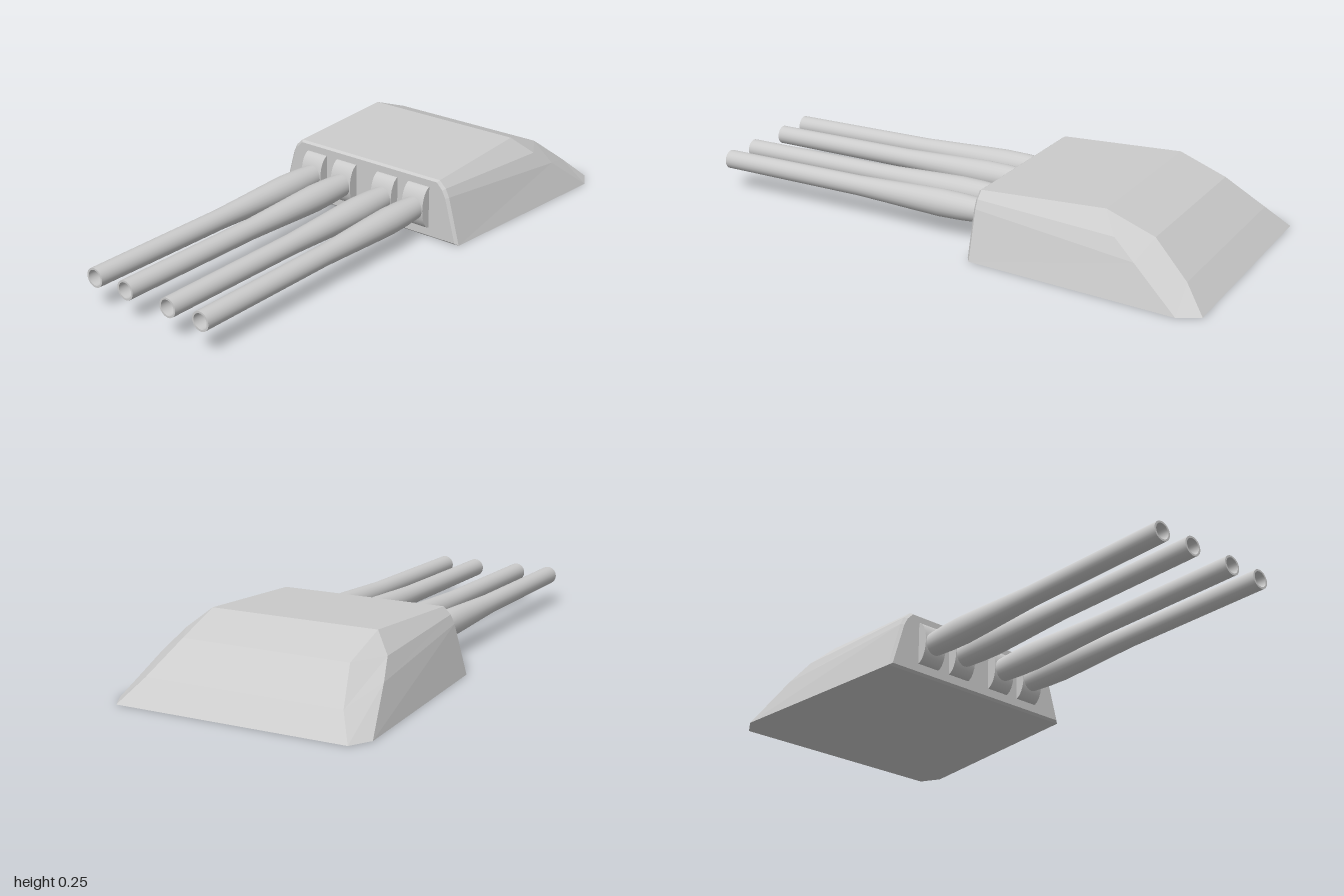
import * as THREE from 'three';

const grey = new THREE.MeshStandardMaterial({ color: 0xcccccc });
const greyFlat = new THREE.MeshStandardMaterial({ color: 0xcccccc, flatShading: true });

// Half cross-sections on the +x side, listed from the base up to the roof
const frontFace = [[0.398, 0.008, -0.135], [0.352, 0.172, -0.135], [0.338, 0.2, -0.135], [0.314, 0.225, -0.135]];
const frontRim = [[0.41, 0, -0.145], [0.362, 0.175, -0.145], [0.347, 0.206, -0.145], [0.32, 0.232, -0.145]];
const cornerEdge = [[0.473, 0, -0.925], [0.418, 0.13, -0.755], [0.385, 0.19, -0.67], [0.318, 0.253, -0.61]];
const rearEdge = [[0.43, 0, -1], [0.37, 0.08, -0.92], [0.316, 0.187, -0.785], [0.318, 0.253, -0.61]];

// Skin mirrored sections into a closed, faceted shell
function buildShell(sections) {
  const rings = sections.map((s) => [...s, ...[...s].reverse().map(([x, y, z]) => [-x, y, z])]);
  const positions = [];
  const quad = (a, b, c, d) => positions.push(...a, ...b, ...c, ...a, ...c, ...d);
  for (let k = 0; k < rings.length - 1; k++) {
    const near = rings[k], far = rings[k + 1];
    for (let i = 0; i < 8; i++) {
      const j = (i + 1) % 8;
      quad(near[i], far[i], far[j], near[j]);
    }
  }
  const first = rings[0], last = rings[rings.length - 1];
  for (let i = 0; i < 3; i++) {
    quad(first[i], first[i + 1], first[6 - i], first[7 - i]);
    quad(last[7 - i], last[6 - i], last[i + 1], last[i]);
  }
  const geometry = new THREE.BufferGeometry();
  geometry.setAttribute('position', new THREE.Float32BufferAttribute(positions, 3));
  geometry.computeVertexNormals();
  return geometry;
}

// Tapered barrel with a hollow muzzle; doubled points keep the rim sharp
function buildBarrel() {
  const profile = [
    [0.041, -0.15], [0.043, -0.1], [0.048, -0.02], [0.05, 0.06], [0.047, 0.15], [0.041, 0.3],
    [0.037, 0.41], [0.035, 1], [0.035, 1], [0.028, 1], [0.028, 1], [0.028, 0.9], [0.028, 0.9], [0, 0.9],
  ].map(([r, y]) => new THREE.Vector2(r, y));
  return new THREE.LatheGeometry(profile, 24).rotateX(Math.PI / 2);
}

// Rounded gun shield lying across the front plate
function buildMantlet() {
  return new THREE.CylinderGeometry(0.081, 0.081, 0.092, 24).rotateZ(Math.PI / 2).scale(1, 1, 0.56);
}

export function createModel() {
  const model = new THREE.Group();
  model.name = 'gunTurret';

  const add = (name, geometry, material, parent = model) => {
    const mesh = new THREE.Mesh(geometry, material);
    mesh.name = name;
    parent.add(mesh);
    return mesh;
  };

  add('turretHousing', buildShell([frontFace, frontRim, cornerEdge, rearEdge]), greyFlat);

  // Four guns in two pairs
  const barrel = buildBarrel();
  const mantlet = buildMantlet();
  [-0.238, -0.096, 0.094, 0.236].forEach((x, i) => {
    const gun = new THREE.Group();
    gun.name = `gun${i + 1}`;
    gun.position.set(x, 0.117, 0);
    add('barrel', barrel, grey, gun);
    add('mantlet', mantlet, grey, gun).position.set(0, 0.002, -0.14);
    model.add(gun);
  });

  return model;
}
